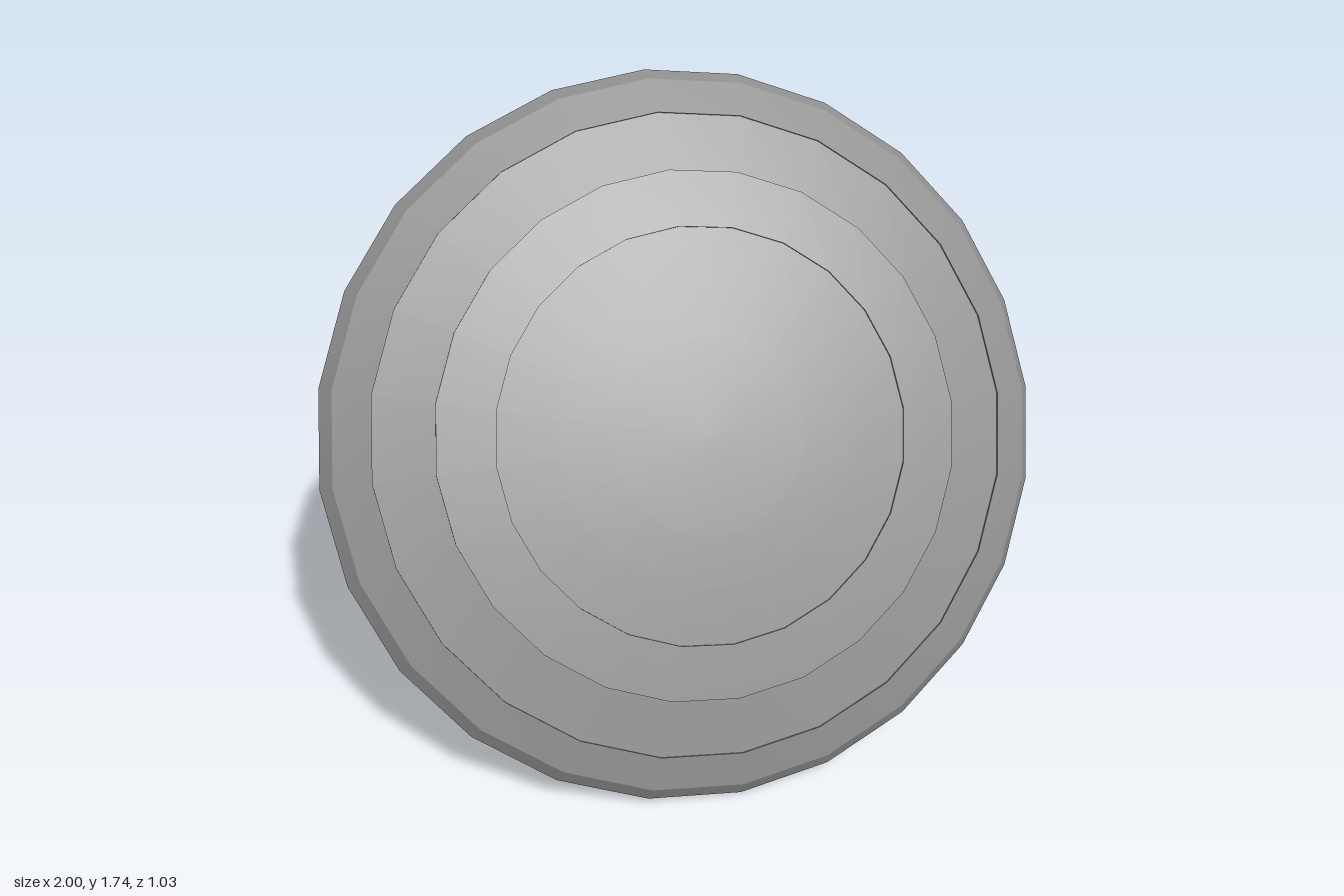
import * as THREE from 'three';
import { toCreasedNormals } from 'three/addons/utils/BufferGeometryUtils.js';

const SIDES = 24;
const THICKNESS = 0.014;
const STEP = 0.006;

// Height of the flattened dome at a given radius
const dome = (r) => 0.203 * Math.sqrt(1 - r * r);

// Profile from rim to centre: bands alternately recessed and raised, with a small step between
function steppedProfile(bandRadii, drop) {
  const points = [[0.966, dome(0.966) - drop], [0.866, dome(0.866) - drop]];
  for (let i = 0; i < bandRadii.length - 1; i++) {
    const lift = i % 2 === 0 ? -STEP : 0;
    for (const r of [bandRadii[i], bandRadii[i + 1]]) points.push([r, dome(r) - drop + lift]);
  }
  return points;
}

// Turned surface, smooth around its circumference and sharp between bands
function turned(name, profile, material) {
  const points = profile.map(([r, h]) => new THREE.Vector2(r, h));
  const mesh = new THREE.Mesh(toCreasedNormals(new THREE.LatheGeometry(points, SIDES), 0.3), material);
  mesh.name = name;
  return mesh;
}

// Flattened oval loop, its opening running along z
function strapGeometry(width) {
  const shape = new THREE.Shape();
  shape.absellipse(0, 0, 0.245, 0.118, 0, Math.PI * 2, false);
  const hole = new THREE.Path();
  hole.absellipse(0, 0, 0.223, 0.098, 0, Math.PI * 2, true);
  shape.holes.push(hole);
  const geometry = new THREE.ExtrudeGeometry(shape, { depth: width, bevelEnabled: false, curveSegments: 36 });
  geometry.translate(0, 0, -width / 2);
  return toCreasedNormals(geometry, 0.7);
}

export function createModel() {
  const model = new THREE.Group();
  model.name = 'roundShield';
  const darkGrey = new THREE.MeshStandardMaterial({ color: 0x919191 });

  // The shield is built facing +y, then leaned back
  const shield = new THREE.Group();
  shield.name = 'shield';
  shield.rotation.x = Math.PI / 3;
  shield.position.set(0, 0.867, -0.01);
  model.add(shield);

  // Front: thin upright lip, turned-down rim, concentric bands and centre disc
  const front = steppedProfile([0.866, 0.707, 0.555, 0.4], 0);
  shield.add(turned('frontFace', [[1, 0], [1, 0.008], ...front, [0.26, dome(0.26)], [0, dome(0)]], darkGrey));

  // Hollow back lining, with its own bands
  const back = steppedProfile([0.866, 0.707, 0.5, 0.26], THICKNESS);
  shield.add(turned('backLining', [[1, 0], ...back, [0, dome(0) - THICKNESS]].reverse(), darkGrey));

  // Two arm straps on the hollow side
  const geometry = strapGeometry(0.11);
  for (const [name, z] of [['upperStrap', -0.558], ['lowerStrap', 0.558]]) {
    const strap = new THREE.Mesh(geometry, darkGrey);
    strap.name = name;
    strap.position.set(0, 0.034, z);
    shield.add(strap);
  }
  return model;
}
